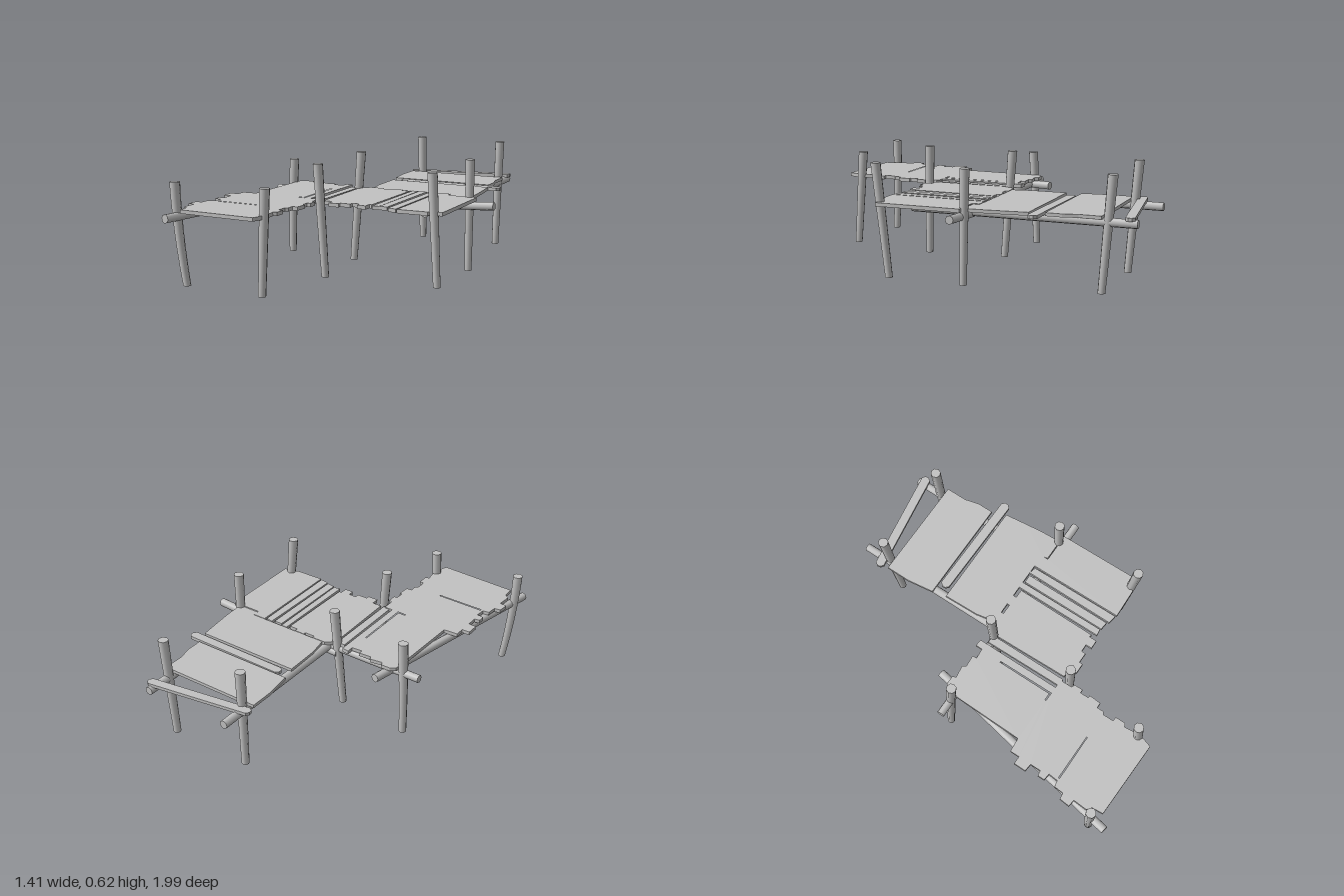
import * as THREE from 'three';

const wood = new THREE.MeshStandardMaterial({ color: 0xc2c2c2 });
wood.name = 'weathered wood';
const UP = new THREE.Vector3(0, 1, 0);

// Tapered round log from a to b, bowed sideways by bow at its middle.
function log(name, a, b, rA, rB, bow = [0, 0, 0], level = false) {
  const start = new THREE.Vector3(...a), end = new THREE.Vector3(...b), bend = new THREE.Vector3(...bow);
  const geo = new THREE.CylinderGeometry(1, 1, 1, 8, 6);
  const turn = new THREE.Quaternion();
  // level logs keep horizontal cuts, others are cut square to their axis
  if (!level) turn.setFromUnitVectors(UP, end.clone().sub(start).normalize());
  const pos = geo.attributes.position, nor = geo.attributes.normal;
  const p = new THREE.Vector3(), n = new THREE.Vector3();
  for (let i = 0; i < pos.count; i++) {
    const t = pos.getY(i) + 0.5, r = rA + (rB - rA) * t;
    p.set(pos.getX(i) * r, 0, pos.getZ(i) * r).applyQuaternion(turn);
    p.add(start.clone().lerp(end, t)).addScaledVector(bend, 4 * t * (1 - t));
    pos.setXYZ(i, p.x, p.y, p.z);
    n.fromBufferAttribute(nor, i).applyQuaternion(turn);
    nor.setXYZ(i, n.x, n.y, n.z);
  }
  const mesh = new THREE.Mesh(geo, wood);
  mesh.name = name;
  return mesh;
}

// Flat boards from an outline of [x, z] points, with optional slots cut through.
function boards(name, outline, bottom = 0.392, top = 0.412, slots = []) {
  const points = (list) => list.map(([x, z]) => new THREE.Vector2(x, -z));
  const shape = new THREE.Shape(points(outline));
  shape.holes = slots.map((s) => new THREE.Path(points(s)));
  const geo = new THREE.ExtrudeGeometry(shape, { depth: top - bottom, bevelEnabled: false });
  geo.rotateX(-Math.PI / 2).translate(0, bottom, 0);
  const mesh = new THREE.Mesh(geo, wood);
  mesh.name = name;
  return mesh;
}

// Single loose board with clipped corners, centred on a line between two [x, z] points.
function looseBoard(name, a, b, width, bottom, top) {
  const l = Math.hypot(b[0] - a[0], b[1] - a[1]) / 2, w = width / 2, c = width * 0.3;
  const ux = (b[0] - a[0]) / (2 * l), uz = (b[1] - a[1]) / (2 * l);
  const mx = (a[0] + b[0]) / 2, mz = (a[1] + b[1]) / 2;
  const corners = [[-l, -w + c], [-l + c, -w], [l - c, -w], [l, -w + c], [l, w - c], [l - c, w], [-l + c, w], [-l, w - c]];
  return boards(name, corners.map(([s, t]) => [mx + ux * s - uz * t, mz + uz * s + ux * t]), bottom, top);
}

export function createModel() {
  const model = new THREE.Group();
  model.name = 'jetty';

  // Posts: bottom x, z, top x, z, height, bow in x
  const posts = [
    [-0.63, 0.875, -0.68, 0.89, 0.55, -0.01],
    [-0.16, 0.895, -0.16, 0.855, 0.55, 0],
    [-0.555, -0.1, -0.53, -0.085, 0.55, -0.003],
    [-0.075, 0.385, -0.11, 0.395, 0.615, 0],
    [0.555, 0.33, 0.555, 0.4, 0.615, 0],
    [-0.13, -0.06, -0.11, -0.115, 0.615, 0],
    [0.555, -0.1, 0.555, -0.11, 0.615, 0],
    [-0.035, -0.815, -0.065, -0.86, 0.615, 0],
    [0.442, -0.815, 0.442, -0.865, 0.615, 0],
  ];
  for (const [bx, bz, tx, tz, h, bow] of posts) {
    model.add(log('post', [bx, 0, bz], [tx, h, tz], 0.021, 0.028, [bow, 0, 0], true));
  }

  // Beams under the decks
  model.add(log('leftFrontBeam', [-0.68, 0.37, 0.985], [-0.445, 0.37, -0.22], 0.024, 0.024));
  model.add(log('leftCrossBeam', [-0.64, 0.37, -0.09], [-0.08, 0.37, -0.09], 0.022, 0.022));
  model.add(log('rightCrossBeam', [0.705, 0.371, -0.09], [-0.12, 0.342, -0.1], 0.023, 0.023, [0, -0.006, 0]));
  model.add(log('backBeam', [-0.06, 0.37, -1], [-0.06, 0.37, 0.02], 0.023, 0.025));
  model.add(log('backBeam', [0.442, 0.37, -1], [0.442, 0.37, 0.24], 0.023, 0.025));

  // Front arm: ragged deck with two narrow slots
  model.add(boards('frontDeck', [
    [-0.52, -0.13], [-0.49, -0.15], [-0.44, -0.15], [-0.43, -0.13], [-0.36, -0.14], [-0.35, -0.12],
    [-0.28, -0.125], [-0.28, -0.1], [-0.22, -0.105], [-0.22, -0.145], [-0.18, -0.14], [-0.18, 0.35],
    [-0.13, 0.35], [-0.13, 0.42], [-0.11, 0.43], [-0.11, 0.48], [-0.13, 0.48], [-0.13, 0.53],
    [-0.115, 0.53], [-0.12, 0.6], [-0.15, 0.6], [-0.15, 0.64], [-0.165, 0.65], [-0.165, 0.71],
    [-0.14, 0.71], [-0.14, 0.77], [-0.16, 0.78], [-0.15, 0.87], [-0.175, 0.95], [-0.62, 0.935],
    [-0.625, 0.87], [-0.65, 0.85], [-0.645, 0.77], [-0.685, 0.765], [-0.68, 0.705], [-0.645, 0.7],
    [-0.64, 0.645], [-0.605, 0.64], [-0.6, 0.585], [-0.64, 0.58], [-0.64, 0.54], [-0.61, 0.535],
    [-0.61, 0.475], [-0.655, 0.47], [-0.655, 0.4], [-0.61, 0.4], [-0.61, 0.345], [-0.53, 0.34],
  ], 0.395, 0.415, [
    [[-0.59, 0.637], [-0.32, 0.641], [-0.32, 0.645], [-0.59, 0.644]],
    [[-0.228, 0.02], [-0.222, 0.02], [-0.22, 0.35], [-0.27, 0.348], [-0.27, 0.342], [-0.228, 0.342]],
  ]));

  // Middle platform: jointed deck and separate long boards
  model.add(boards('middleBoard', [[-0.165, -0.1], [-0.118, -0.1], [-0.118, 0.36], [-0.16, 0.36]], 0.39, 0.41));
  model.add(boards('middleDeck', [
    [-0.11, -0.1], [-0.06, -0.14], [0.02, -0.14], [0.02, -0.125], [0.08, -0.125], [0.08, -0.14], [0.14, -0.14],
    [0.14, -0.12], [0.19, -0.12], [0.185, 0.35], [0.17, 0.345], [0.17, 0.39], [0.12, 0.39], [0.12, 0.355],
    [0.075, 0.355], [0.075, 0.38], [0.015, 0.38], [0.015, 0.4], [-0.045, 0.4], [-0.045, 0.355], [-0.1, 0.355],
  ], 0.39, 0.41));
  model.add(boards('middleBoard', [[0.2, -0.14], [0.235, -0.14], [0.238, 0.37], [0.2, 0.375]], 0.39, 0.41));
  model.add(boards('middleBoard', [[0.243, -0.13], [0.29, -0.13], [0.29, 0.38], [0.243, 0.375]], 0.392, 0.412));
  model.add(boards('middleBoard', [[0.305, -0.14], [0.345, -0.13], [0.35, 0.4], [0.3, 0.39]], 0.39, 0.41));
  model.add(boards('rightDeck', [
    [0.355, -0.14], [0.43, -0.14], [0.43, -0.1], [0.6, -0.1], [0.605, 0.38], [0.54, 0.385], [0.53, 0.4], [0.358, 0.405],
  ], 0.39, 0.41));

  // Back arm: two decks, a loose board between them and a slanted one at the end
  model.add(boards('backDeck', [
    [-0.07, -0.45], [0.53, -0.45], [0.545, -0.32], [0.555, -0.22], [0.56, -0.105], [0.435, -0.105],
    [0.43, -0.14], [-0.045, -0.14], [-0.065, -0.25],
  ], 0.389, 0.407));
  model.add(boards('backDeck', [
    [-0.11, -0.82], [0.48, -0.82], [0.48, -0.7], [0.5, -0.62], [0.5, -0.53], [-0.09, -0.53], [-0.11, -0.68],
  ], 0.388, 0.406));
  model.add(looseBoard('looseBoard', [-0.03, -0.495], [0.59, -0.487], 0.052, 0.386, 0.404));
  model.add(looseBoard('endBoard', [-0.13, -0.87], [0.475, -0.965], 0.05, 0.388, 0.406));

  return model;
}
